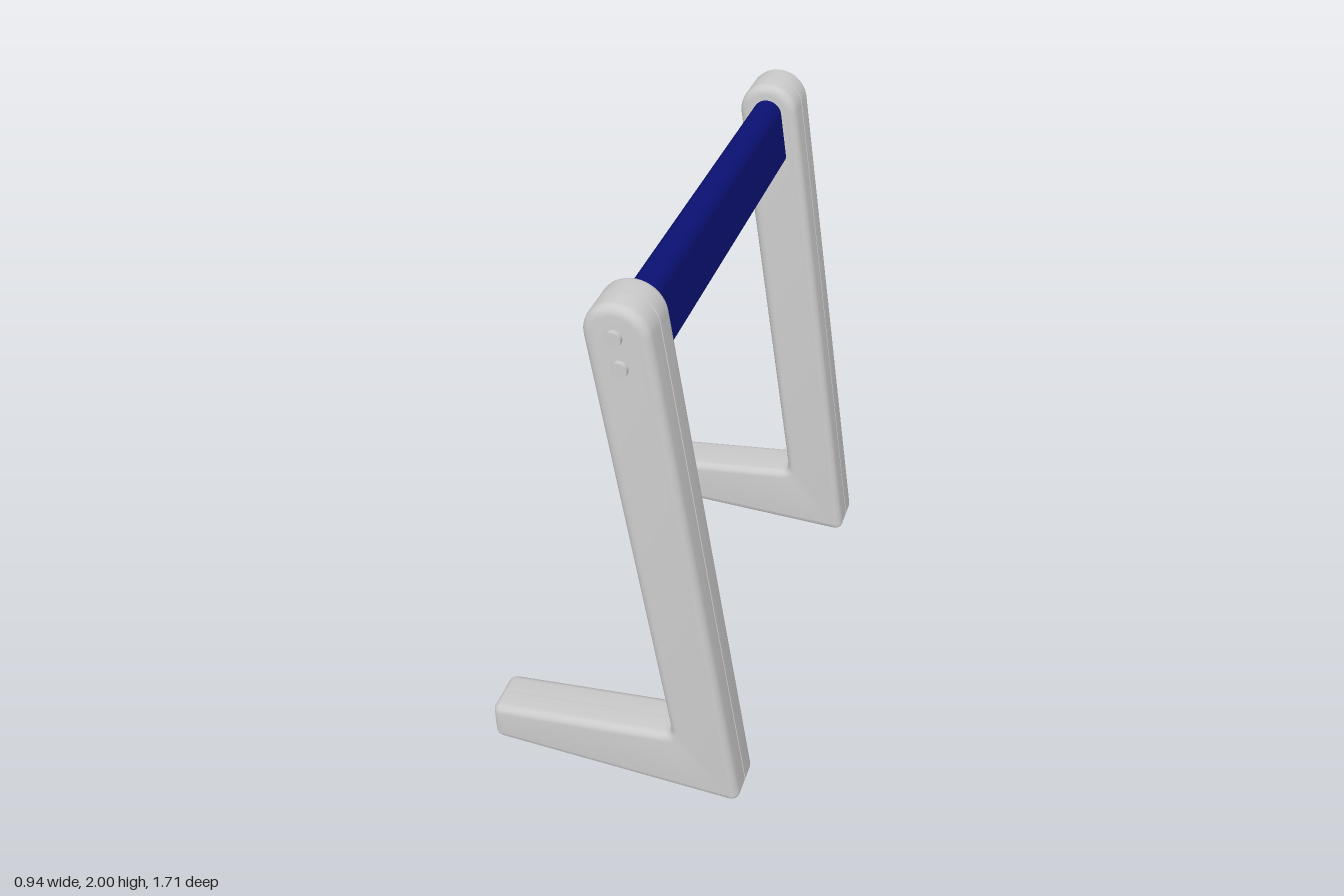
import * as THREE from 'three';
import { toCreasedNormals } from 'three/addons/utils/BufferGeometryUtils.js';

const grey = new THREE.MeshStandardMaterial({ color: 0xcccccc });
const blue = new THREE.MeshStandardMaterial({ color: 0x0b1173 });

const LEAN = Math.atan(0.157);           // lean of the uprights
const TOP = new THREE.Vector2(0.07, 1.896); // centre of the rounded top
const BEVEL = 0.03;

// L-shaped leg outline, inset by the bevel; corners are [x, y, rounding]
function legShape() {
  const r = 0.104 - BEVEL;
  const corners = [
    [-0.003, 1.8845, 0],
    [0.255, 0.239, 0.07],
    [-0.44, 0.134, 0.004],
    [-0.44, BEVEL, 0.004],
    [0.438, BEVEL, 0.004],
    [0.143, 1.9075, 0],
  ].map(([x, y, t]) => ({ p: new THREE.Vector2(x, y), t }));
  const shape = new THREE.Shape();
  shape.absarc(TOP.x, TOP.y, r, LEAN, Math.PI + LEAN, false);
  for (let i = 1; i < corners.length - 1; i++) {
    const { p, t } = corners[i];
    const toward = (q) => q.clone().sub(p).setLength(t).add(p);
    const a = toward(corners[i - 1].p), b = toward(corners[i + 1].p);
    shape.lineTo(a.x, a.y);
    shape.quadraticCurveTo(p.x, p.y, b.x, b.y);
  }
  shape.closePath();
  return shape;
}

// One half shell: round outer edge, thin seam groove on the joining side
function halfLegGeometry() {
  const geo = new THREE.ExtrudeGeometry(legShape(), {
    depth: 0.057, bevelThickness: BEVEL, bevelSize: BEVEL, bevelSegments: 5, curveSegments: 14,
  });
  const pos = geo.attributes.position;
  for (let i = 0; i < pos.count; i++) {
    if (pos.getZ(i) < 0) pos.setZ(i, pos.getZ(i) * 0.1);
  }
  geo.translate(0, 0, 0.003);
  return toCreasedNormals(geo, 0.6);
}

// Crossbar section: round top, flat bottom, leaning with the legs
function crossbarGeometry() {
  const r = 0.052, drop = 0.17, half = 0.7;
  const shape = new THREE.Shape();
  shape.absarc(0, 0, r, 0, Math.PI, false);
  shape.lineTo(-r, -drop);
  shape.lineTo(r, -drop);
  shape.closePath();
  const geo = new THREE.ExtrudeGeometry(shape, { depth: half * 2, bevelEnabled: false, curveSegments: 24 });
  geo.translate(0, 0, -half);
  geo.rotateZ(LEAN);
  geo.translate(TOP.x, TOP.y, 0);
  return toCreasedNormals(geo, 0.6);
}

export function createModel() {
  const model = new THREE.Group();
  model.name = 'barrierStand';

  const shell = halfLegGeometry();
  const boltGeo = new THREE.CylinderGeometry(0.026, 0.026, 0.04, 32).rotateX(Math.PI / 2);

  for (const side of [1, -1]) {
    const leg = new THREE.Group();
    leg.name = side > 0 ? 'frontLeg' : 'backLeg';
    leg.position.z = side * 0.75;

    // two mirrored shells meeting at the seam
    for (const dir of [1, -1]) {
      const half = new THREE.Mesh(shell, grey);
      half.name = dir === side ? 'outerShell' : 'innerShell';
      half.scale.z = dir;
      leg.add(half);
    }

    // bolt heads on the outer face
    for (const [x, y] of [[0.067, 1.9], [0.083, 1.8]]) {
      const bolt = new THREE.Mesh(boltGeo, grey);
      bolt.name = 'bolt';
      bolt.position.set(x, y, side * 0.086);
      leg.add(bolt);
    }
    model.add(leg);
  }

  const bar = new THREE.Mesh(crossbarGeometry(), blue);
  bar.name = 'crossbar';
  model.add(bar);
  return model;
}
